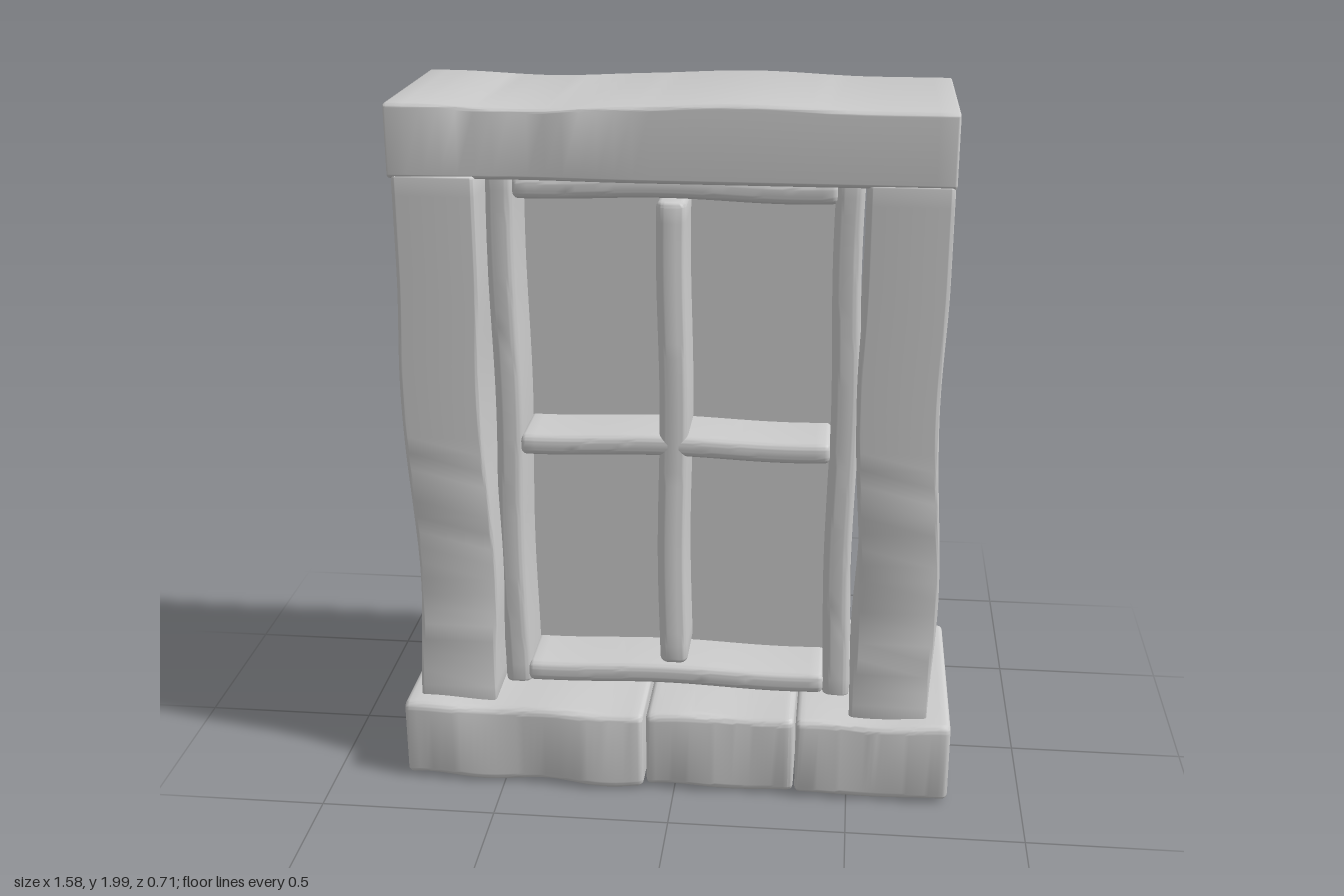
import * as THREE from 'three';
import { toCreasedNormals } from 'three/addons/utils/BufferGeometryUtils.js';

const material = new THREE.MeshStandardMaterial({ color: 0xcccccc });

// smooth bump of height h centred on c with half width w
const bump = (t, c, w, h) => (Math.abs(t - c) < w ? h * 0.5 * (1 + Math.cos(Math.PI * (t - c) / w)) : 0);

// rounded rectangle for a cross-section
function roundedRect(w, h, r) {
  const s = new THREE.Shape();
  s.absarc(w / 2 - r, h / 2 - r, r, 0, Math.PI / 2);
  s.absarc(-w / 2 + r, h / 2 - r, r, Math.PI / 2, Math.PI);
  s.absarc(-w / 2 + r, -h / 2 + r, r, Math.PI, Math.PI * 1.5);
  s.absarc(w / 2 - r, -h / 2 + r, r, Math.PI * 1.5, Math.PI * 2);
  s.closePath();
  return s;
}

// rounded block running along an axis, bent by a rule on its vertices
function block(name, [x0, x1], [y0, y1], [z0, z1], axis, r, wobble) {
  const alongY = axis === 'y';
  const length = alongY ? y1 - y0 : x1 - x0;
  const shape = alongY ? roundedRect(x1 - x0, z1 - z0, r) : roundedRect(z1 - z0, y1 - y0, r);
  const b = r * 0.6;
  let geo = new THREE.ExtrudeGeometry(shape, {
    depth: length - 2 * b, steps: 32, curveSegments: 4,
    bevelEnabled: true, bevelSize: b, bevelThickness: b, bevelOffset: -b, bevelSegments: 3,
  });
  geo.center();
  if (alongY) geo.rotateX(-Math.PI / 2);
  else geo.rotateY(Math.PI / 2);
  geo.translate((x0 + x1) / 2, (y0 + y1) / 2, (z0 + z1) / 2);
  if (wobble) {
    const pos = geo.attributes.position;
    const p = new THREE.Vector3();
    for (let i = 0; i < pos.count; i++) {
      wobble(p.fromBufferAttribute(pos, i));
      pos.setXYZ(i, p.x, p.y, p.z);
    }
  }
  geo = toCreasedNormals(geo, 0.7);
  const mesh = new THREE.Mesh(geo, material);
  mesh.name = name;
  return mesh;
}

export function createModel() {
  const model = new THREE.Group();
  model.name = 'window';

  // sill: three worn stones
  const stones = [
    [-0.79, -0.09, -0.345, 0.335], [-0.082, 0.345, -0.335, 0.325], [0.35, 0.79, -0.343, 0.33],
  ];
  stones.forEach(([x0, x1, z0, z1], i) => {
    model.add(block('sillStone' + (i + 1), [x0, x1], [0.01, 0.25], [z0, z1], 'x', 0.025, (p) => {
      const side = Math.sign(p.z);
      p.z += side * (bump(p.x, -0.2, 0.2, 0.012) + 0.004 * Math.sin(p.x * 19 + p.y * 9));
      p.y += 0.005 * Math.sin(p.x * 17 + side * 1.3);
    }));
  });

  // side posts
  model.add(block('rightPost', [-0.75, -0.527], [0.23, 1.8], [-0.257, 0.28], 'y', 0.012, (p) => {
    const s = bump(p.y, 0.62, 0.4, 1);
    p.x += 0.013 * s + bump(p.y, 1.2, 0.35, -0.01);
    p.z -= 0.014 * s;
  }));
  model.add(block('leftPost', [0.5, 0.722], [0.23, 1.8], [-0.257, 0.28], 'y', 0.012, (p) => {
    const s = bump(p.y, 0.62, 0.4, 1);
    p.x += 0.016 * s + bump(p.y, 1.2, 0.35, -0.01);
    p.z -= 0.014 * s;
  }));

  // lintel with an uneven top
  model.add(block('lintel', [-0.76, 0.725], [1.79, 1.988], [-0.264, 0.28], 'x', 0.012, (p) => {
    if (p.y > 1.88) p.y += bump(p.x, -0.4, 0.3, -0.012) + bump(p.x, 0.17, 0.35, 0.012);
    p.z += bump(p.x, -0.4, 0.3, -0.011);
  }));

  // inner frame and glazing bars
  const depth = [-0.14, 0.165];
  const swayX = (p) => { p.x += 0.004 * Math.sin(p.y * 7); };
  const swayY = (p) => { p.y += 0.005 * Math.sin(p.x * 9 + 2); };
  model.add(block('rightStile', [-0.525, -0.447], [0.24, 1.8], depth, 'y', 0.025, swayX));
  model.add(block('leftStile', [0.417, 0.495], [0.24, 1.8], depth, 'y', 0.025, swayX));
  model.add(block('mullion', [-0.061, 0.02], [0.33, 1.715], depth, 'y', 0.025, swayX));
  [['bottomRail', 0.252, 0.318], ['middleRail', 0.978, 1.042], ['topRail', 1.718, 1.785]].forEach(([name, y0, y1]) => {
    model.add(block(name, [-0.452, 0.422], [y0, y1], depth, 'x', 0.025, swayY));
  });

  // glass pane
  const pane = new THREE.Mesh(new THREE.BoxGeometry(0.9, 1.56, 0.02), material);
  pane.position.set(-0.015, 1.015, -0.02);
  pane.name = 'glassPane';
  model.add(pane);

  return model;
}
